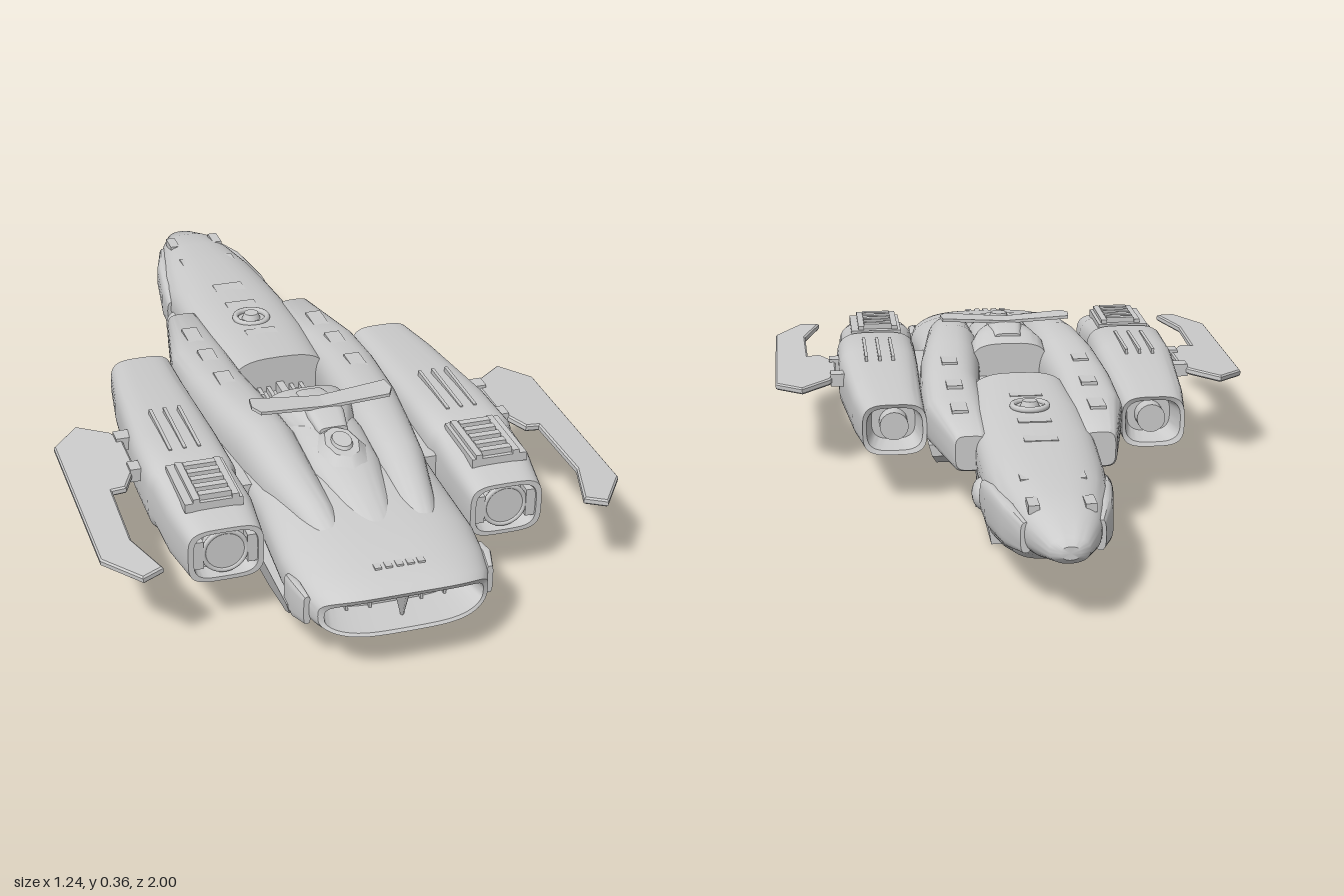
import * as THREE from 'three';
import { toCreasedNormals } from 'three/addons/utils/BufferGeometryUtils.js';

const grey = new THREE.MeshStandardMaterial({ color: 0xcccccc, side: THREE.DoubleSide });

// Skin over rounded cross-sections [z, halfWidth, top, bottom, squareness, centreX, bow], from back to front
function loft(sections, n = 40) {
  const pos = [], idx = [];
  const pw = (v, e) => Math.sign(v) * Math.pow(Math.abs(v), 2 / e);
  for (const [z, w, top, bot, e = 2.5, cx = 0, bow = 0] of sections) {
    for (let j = 0; j < n; j++) {
      const a = (j / n) * Math.PI * 2;
      const x = w * pw(Math.cos(a), e);
      const y = (top + bot) / 2 + ((top - bot) / 2) * pw(Math.sin(a), e);
      pos.push(cx + x, y, z - bow * x ** 4);
    }
  }
  const last = sections.length - 1;
  for (let i = 0; i < last; i++) for (let j = 0; j < n; j++) {
    const k = (j + 1) % n, a = i * n + j, b = i * n + k, c = b + n, d = a + n;
    idx.push(a, b, c, a, c, d);
  }
  for (const s of [0, last]) {
    const [z, , top, bot, , cx = 0] = sections[s], c = pos.length / 3;
    pos.push(cx, (top + bot) / 2, z);
    for (let j = 0; j < n; j++) {
      const k = (j + 1) % n;
      if (s) idx.push(c, s * n + j, s * n + k); else idx.push(c, k, j);
    }
  }
  const g = new THREE.BufferGeometry();
  g.setAttribute('position', new THREE.Float32BufferAttribute(pos, 3));
  g.setIndex(idx);
  return toCreasedNormals(g, 0.65);
}

const polygon = (C, pts) => new C(pts.map(p => new THREE.Vector2(p[0], p[1])));

// Side profile of [z, y] points with a slot, given thickness from x0 to x1 and narrowed downwards
function sidePlate(pts, [z0, z1, y0, y1], x0, x1, lean) {
  const shape = polygon(THREE.Shape, pts.map(([z, y]) => [-z, y]));
  shape.holes.push(polygon(THREE.Path, [[-z0, y0], [-z1, y0], [-z1, y1], [-z0, y1]]));
  const g = new THREE.ExtrudeGeometry(shape, { depth: x1 - x0, bevelEnabled: false });
  g.rotateY(Math.PI / 2).translate(x0, 0, 0);
  const p = g.attributes.position;
  for (let i = 0; i < p.count; i++) p.setX(i, p.getX(i) * (1 + (p.getY(i) - 0.12) * lean));
  return toCreasedNormals(g, 0.5);
}

// Mirror across x, turning the triangles over so they still face outwards
function mirrored(geo) {
  const g = geo.index ? geo.toNonIndexed() : geo.clone();
  g.scale(-1, 1, 1);
  for (const name of ['position', 'normal']) {
    const a = g.attributes[name], v = new THREE.Vector3(), w = new THREE.Vector3();
    for (let i = 0; i < a.count; i += 3) {
      v.fromBufferAttribute(a, i + 1);
      w.fromBufferAttribute(a, i + 2);
      a.setXYZ(i + 1, w.x, w.y, w.z);
      a.setXYZ(i + 2, v.x, v.y, v.z);
    }
  }
  return g;
}

const box = (x0, x1, y0, y1, z0, z1) => new THREE.BoxGeometry(x1 - x0, y1 - y0, z1 - z0)
  .translate((x0 + x1) / 2, (y0 + y1) / 2, (z0 + z1) / 2);
const ball = (x, y, z, rx, ry, rz) => new THREE.SphereGeometry(1, 24, 16).scale(rx, ry, rz).translate(x, y, z);

export function createModel() {
  const ship = new THREE.Group();
  ship.name = 'spaceship';
  const add = (name, geo) => {
    const m = new THREE.Mesh(geo, grey);
    m.name = name;
    ship.add(m);
  };
  const pair = (name, geo) => {
    add(name + 'Left', geo);
    add(name + 'Right', mirrored(geo));
  };

  // Front hull with a hollow mouth in the bow
  add('frontHull', loft([
    [0.23, 0.21, 0.28, 0.12, 3], [0.4, 0.222, 0.285, 0.11, 2.8], [0.6, 0.222, 0.28, 0.1, 2.8],
    [0.8, 0.23, 0.262, 0.095, 2.8, 0, 5], [0.92, 0.222, 0.242, 0.103, 2.8, 0, 20],
    [0.98, 0.21, 0.227, 0.11, 3, 0, 28], [1.0, 0.197, 0.215, 0.116, 3.2, 0, 28],
    [0.995, 0.184, 0.204, 0.123, 3.2, 0, 28], [0.9, 0.165, 0.195, 0.13, 3.2, 0, 28]], 64));
  add('mouthDivider', new THREE.CylinderGeometry(0.022, 0.004, 0.075, 4).translate(0, 0.164, 0.95));
  for (const x of [0.06, 0.115]) pair('mouthStrut', box(x - 0.003, x + 0.003, 0.128, 0.2, 0.88, 0.91));
  pair('cheekFin', loft([[0.83, 0.01, 0.2, 0.12, 4, 0.224], [0.88, 0.013, 0.21, 0.12, 4, 0.222],
    [0.93, 0.008, 0.2, 0.13, 4, 0.212]], 16));
  add('bowStep', loft([[0.85, 0.1, 0.252, 0.22, 4], [0.9, 0.095, 0.244, 0.22, 4], [0.935, 0.08, 0.235, 0.22, 4]]));
  for (let i = -2; i <= 2; i++) add('bowDetail', box(i * 0.025 - 0.008, i * 0.025 + 0.008, 0.235, 0.244, 0.91, 0.93));

  // Canopy ridge between the shoulders, and the mound behind it
  add('canopy', loft([[0.3, 0.085, 0.315, 0.22, 2.4], [0.42, 0.09, 0.325, 0.22, 2.2], [0.55, 0.085, 0.312, 0.22, 2.2],
    [0.7, 0.06, 0.285, 0.21, 2.2], [0.84, 0.035, 0.248, 0.2, 2.2]]));
  add('canopyHatch', new THREE.CylinderGeometry(0.04, 0.058, 0.018, 8).scale(1, 1, 1.6).rotateX(0.08).translate(0, 0.316, 0.52));
  add('hatchCap', new THREE.CylinderGeometry(0.022, 0.026, 0.012, 16).scale(1, 1, 1.5).rotateX(0.08).translate(0, 0.327, 0.52));
  add('backMound', loft([[0.23, 0.1, 0.318, 0.2, 3.2], [0.3, 0.1, 0.336, 0.2, 3], [0.36, 0.085, 0.344, 0.2, 2.6],
    [0.43, 0.06, 0.335, 0.2, 2.4], [0.48, 0.04, 0.32, 0.2, 2.4]]));

  // Long shoulders either side of the spine
  pair('shoulder', loft([[-0.37, 0.038, 0.25, 0.165, 4, 0.155], [-0.36, 0.043, 0.258, 0.16, 4, 0.156],
    [-0.12, 0.075, 0.28, 0.145, 3.2, 0.173], [0.05, 0.077, 0.303, 0.13, 2.8, 0.172], [0.25, 0.08, 0.322, 0.13, 2.6, 0.157],
    [0.4, 0.075, 0.33, 0.14, 2.4, 0.142], [0.55, 0.065, 0.315, 0.15, 2.3, 0.135],
    [0.7, 0.048, 0.286, 0.18, 2.2, 0.118], [0.77, 0.036, 0.262, 0.2, 2.2, 0.112], [0.795, 0.015, 0.24, 0.2, 2.2, 0.11]]));
  for (const z of [-0.2, -0.04, 0.12]) pair('shoulderPanel', box(0.15, 0.19, 0.26, 0.298 + z * 0.11, z - 0.04, z + 0.04));

  // Rear spoiler on its mount
  const wing = polygon(THREE.Shape, [[0, -0.34], [0.17, -0.33], [0.175, -0.37], [0.16, -0.4], [0, -0.395]]);
  const blade = new THREE.ExtrudeGeometry(wing, { depth: 0.008, bevelEnabled: false });
  blade.rotateX(-Math.PI / 2).rotateZ(0.07).translate(0, 0.345, 0);
  pair('spoiler', blade);
  add('spoilerMount', loft([[0.27, 0.035, 0.335, 0.3, 4], [0.35, 0.045, 0.352, 0.3, 4], [0.4, 0.045, 0.35, 0.3, 4],
    [0.46, 0.035, 0.332, 0.3, 4]], 20));

  // Open bay in the back
  add('bayFloor', box(-0.065, 0.065, 0.14, 0.2, 0.0, 0.26));
  pair('baySide', box(0.06, 0.12, 0.13, 0.23, 0.08, 0.26));
  add('bayRidge', box(-0.01, 0.01, 0.2, 0.225, 0.02, 0.24));
  for (const x of [0.03, 0.055]) pair('bayRail', box(x - 0.005, x + 0.005, 0.2, 0.215, 0.02, 0.24));

  // Tail boom
  add('tailBoom', loft([[-1, 0.022, 0.195, 0.165, 2.2], [-0.985, 0.045, 0.21, 0.152, 2.3], [-0.9, 0.08, 0.237, 0.13, 2.5],
    [-0.8, 0.105, 0.25, 0.11, 2.6], [-0.68, 0.13, 0.257, 0.09, 2.7], [-0.55, 0.142, 0.265, 0.09, 2.7],
    [-0.4, 0.145, 0.272, 0.11, 3], [-0.2, 0.14, 0.284, 0.14, 3], [0.02, 0.125, 0.296, 0.14, 3]]));
  pair('tailCheek', loft([[-0.88, 0.012, 0.21, 0.14, 3, 0.082], [-0.78, 0.02, 0.22, 0.12, 3, 0.105],
    [-0.63, 0.02, 0.215, 0.11, 3, 0.128], [-0.55, 0.012, 0.2, 0.12, 3, 0.14]], 20));
  pair('tailBlister', ball(0.138, 0.15, -0.5, 0.028, 0.038, 0.05));
  add('turretRing', new THREE.TorusGeometry(0.042, 0.008, 8, 32).rotateX(Math.PI / 2).translate(0, 0.284, -0.24));
  add('turretCap', new THREE.CylinderGeometry(0.018, 0.026, 0.02, 20).translate(0, 0.287, -0.24));
  for (const z of [-0.14, -0.33, -0.46]) add('spinePanel', box(-0.04, 0.04, 0.255, 0.295 + z * 0.055, z - 0.025, z + 0.025));
  for (const z of [-0.52, -0.68, -0.84]) pair('tailPanel', box(0.05, 0.075, 0.225, 0.244 + (z + 0.84) * 0.045, z - 0.03, z + 0.03));

  // Rounded tail keel with an open, slotted bay in front of it
  add('tailKeel', loft([[-0.8, 0.07, 0.16, 0.105, 3], [-0.72, 0.1, 0.18, 0.065, 3], [-0.6, 0.118, 0.19, 0.038, 3.4],
    [-0.46, 0.125, 0.19, 0.01, 3.8]]));
  pair('tailBaySide', sidePlate([[-0.26, 0.15], [-0.27, 0.015], [-0.47, 0.012], [-0.47, 0.15]],
    [-0.36, -0.44, 0.06, 0.08], 0.1, 0.135, 1.2));
  add('tailBayFloor', box(-0.1, 0.1, 0.012, 0.03, -0.47, -0.3));
  pair('tailBayRib', box(0.03, 0.055, 0.09, 0.14, -0.47, -0.27));

  // Lower skids, floor between them and the open jaw in front
  pair('skid', sidePlate([[0.86, 0.115], [0.8, 0.08], [0.62, 0.03], [0.5, 0.015], [0.18, 0.01], [0.08, 0.05], [-0.08, 0.11], [-0.08, 0.14], [0.86, 0.14]],
    [0.45, 0.38, 0.07, 0.093], 0.14, 0.232, 1.2));
  add('floor', box(-0.14, 0.14, 0.015, 0.035, 0.2, 0.48));
  add('jawBlock', box(-0.06, 0.06, 0.03, 0.065, 0.44, 0.5));
  pair('floorBrace', box(0.07, 0.09, 0.03, 0.11, 0.44, 0.47));
  add('bellySpine', box(-0.07, 0.07, 0.1, 0.15, -0.28, 0.75));
  pair('footWheel', new THREE.CylinderGeometry(0.028, 0.028, 0.04, 20).rotateZ(Math.PI / 2).translate(0.15, 0.032, 0.2));
  pair('underRail', box(0.09, 0.105, 0.022, 0.034, -0.12, 0.22));
  pair('clampLeg', box(0.08, 0.12, 0.04, 0.15, -0.25, -0.21));
  pair('clampLegFront', box(0.08, 0.12, 0.015, 0.15, -0.15, -0.1));
  add('clampBar', box(-0.12, 0.12, 0.075, 0.14, -0.26, -0.1));
  pair('clampFoot', box(0.06, 0.13, 0.012, 0.035, -0.2, -0.14));
  add('clampCore', box(-0.04, 0.04, 0.04, 0.1, -0.2, -0.14));

  // Engine pods, hollow at both ends
  const ex = 0.345;
  pair('engine', loft([[-0.06, 0.055, 0.25, 0.155, 3, 0.325], [-0.13, 0.07, 0.255, 0.145, 3.3, 0.325],
    [-0.135, 0.08, 0.265, 0.135, 3.6, 0.325], [0, 0.09, 0.275, 0.13, 3.6, 0.335], [0.3, 0.106, 0.295, 0.12, 3.8, ex],
    [0.46, 0.107, 0.3, 0.12, 3.8, ex], [0.48, 0.1, 0.295, 0.125, 3.8, ex], [0.6, 0.102, 0.292, 0.125, 3.8, 0.34],
    [0.72, 0.088, 0.27, 0.135, 4, 0.335], [0.72, 0.075, 0.26, 0.145, 4, 0.335], [0.68, 0.07, 0.255, 0.15, 4, 0.335]]));
  const disc = new THREE.CylinderGeometry(0.048, 0.048, 0.05, 24).rotateX(Math.PI / 2);
  pair('engineIntake', disc.clone().translate(0.335, 0.205, 0.685));
  pair('engineIntakeRing', new THREE.TorusGeometry(0.05, 0.006, 8, 32).translate(0.335, 0.205, 0.708));
  for (const x of [0.272, 0.398]) pair('intakeGuard', box(x - 0.012, x + 0.012, 0.17, 0.24, 0.67, 0.715));
  pair('engineNozzle', disc.clone().scale(0.75, 0.75, 1).translate(0.325, 0.2, -0.08));
  pair('engineTopPlate', box(0.275, 0.41, 0.28, 0.302, 0.47, 0.65));
  for (let i = 0; i < 5; i++) pair('ventSlat', box(0.3, 0.375, 0.298, 0.316, 0.49 + i * 0.033, 0.508 + i * 0.033));
  for (const x of [0.292, 0.383]) pair('ventRail', box(x - 0.008, x + 0.008, 0.295, 0.312, 0.48, 0.65));
  for (const x of [0.31, 0.345, 0.38]) pair('engineRib', box(x - 0.004, x + 0.004, 0.27, 0.301, 0.2, 0.4));
  pair('engineBelly', loft([[0.02, 0.04, 0.15, 0.125, 3, 0.3], [0.12, 0.06, 0.16, 0.105, 3, 0.3],
    [0.45, 0.06, 0.16, 0.1, 3, 0.3], [0.6, 0.04, 0.15, 0.12, 3, 0.3]], 20));

  // Pylons joining the pods to the hull
  pair('pylon', box(0.18, 0.28, 0.15, 0.235, 0.02, 0.5));
  pair('pylonBrace', box(0.19, 0.27, 0.11, 0.15, 0.25, 0.42));

  // Outer wings, drooping slightly, held by two short roots
  const outline = polygon(THREE.Shape, [[0.462, -0.23], [0.48, -0.19], [0.55, -0.13], [0.615, -0.2], [0.615, -0.71], [0.545, -0.81],
    [0.5, -0.79], [0.54, -0.66], [0.535, -0.44], [0.5, -0.44], [0.462, -0.36]]);
  const fin = new THREE.ExtrudeGeometry(outline, { depth: 0.01, bevelThickness: 0.004, bevelSize: 0.004, bevelSegments: 1 });
  fin.rotateX(-Math.PI / 2).translate(-0.44, 0, 0).rotateZ(-0.08).translate(0.44, 0.236, 0);
  pair('wing', fin);
  pair('wingRoot', box(0.42, 0.475, 0.222, 0.255, 0.2, 0.24));
  pair('wingRootRear', box(0.42, 0.475, 0.222, 0.255, 0.35, 0.39));
  pair('wingTip', box(0.54, 0.56, 0.222, 0.24, 0.65, 0.78));

  return ship;
}
